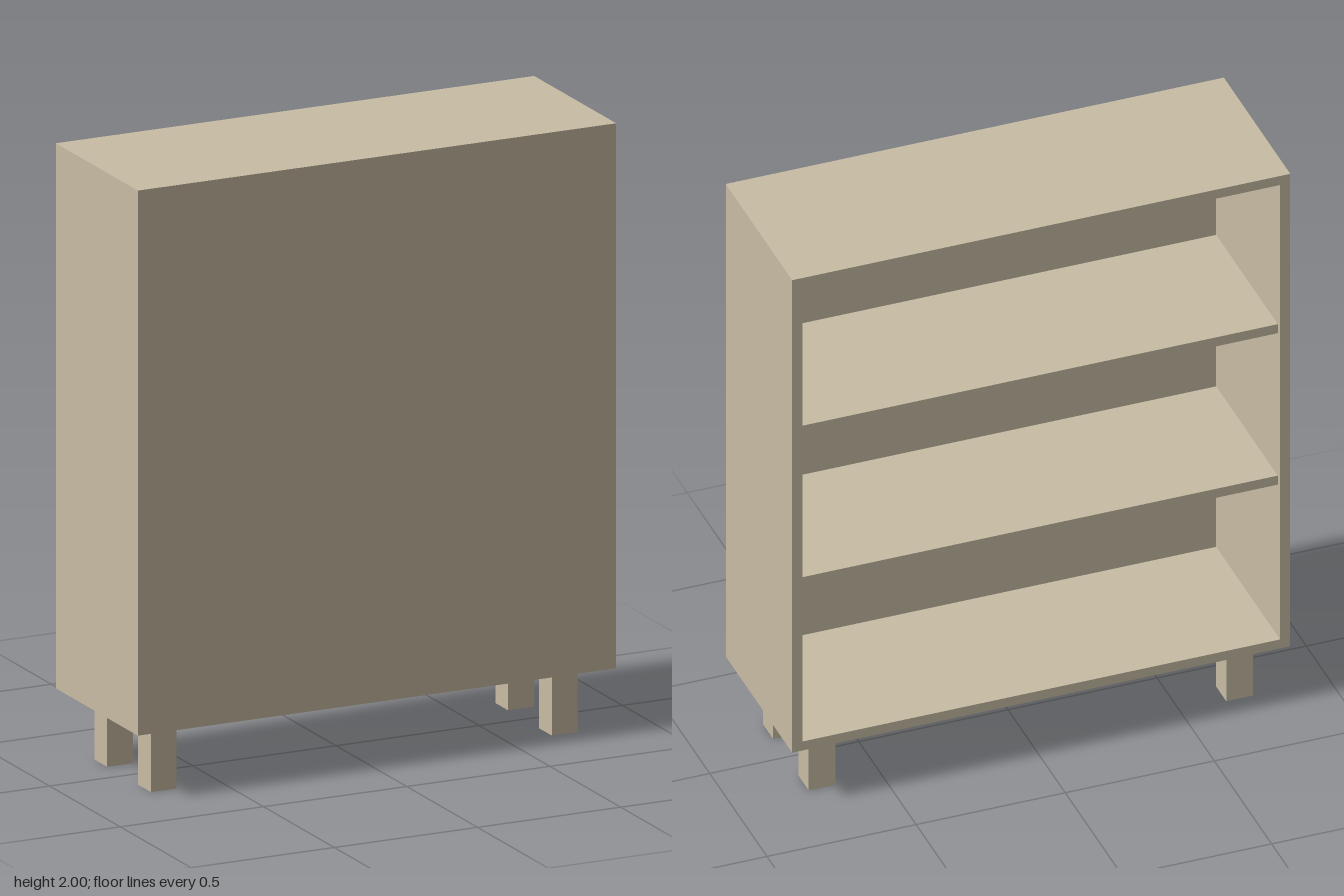
import * as THREE from 'three';

export function createModel() {
  const wood = new THREE.MeshStandardMaterial({ color: 0xc9bda5 });
  wood.name = 'pale wood';

  const model = new THREE.Group();
  model.name = 'shelfUnit';

  const W = 1.67, D = 0.58, bottom = 0.22, top = 2; // cabinet size
  const board = 0.034, panel = 0.022, inset = 0.02; // board thicknesses, shelf setback
  const halfW = W / 2, innerHalfW = halfW - board;
  const innerBottom = bottom + board, innerTop = top - board;

  const add = (name, geometry, x, y, z) => {
    const mesh = new THREE.Mesh(geometry, wood);
    mesh.name = name;
    mesh.position.set(x, y, z);
    model.add(mesh);
  };

  const rectangle = (target, x, y0, y1) => {
    target.moveTo(-x, y0);
    target.lineTo(x, y0);
    target.lineTo(x, y1);
    target.lineTo(-x, y1);
    target.closePath();
    return target;
  };

  // Outer frame: top, bottom and sides in one ring, open at the back
  const outline = rectangle(new THREE.Shape(), halfW, bottom, top);
  outline.holes.push(rectangle(new THREE.Path(), innerHalfW, innerBottom, innerTop));
  add('frame', new THREE.ExtrudeGeometry(outline, { depth: D - panel, bevelEnabled: false }), 0, 0, -D / 2);

  // Closed front panel
  add('frontPanel', new THREE.BoxGeometry(W, top - bottom, panel), 0, (top + bottom) / 2, D / 2 - panel / 2);

  // Two shelves set back slightly from the open side
  const shelfDepth = D - panel - inset;
  for (const i of [1, 2]) {
    const y = innerBottom + (i * (innerTop - innerBottom)) / 3 + board / 2;
    add('shelf' + i, new THREE.BoxGeometry(innerHalfW * 2, board, shelfDepth), 0, y, (inset - panel) / 2);
  }

  // Four square legs
  const legGeometry = new THREE.BoxGeometry(0.09, bottom, 0.09);
  for (const [side, x] of [['Left', 0.7], ['Right', -0.7]]) {
    for (const [end, z] of [['front', 0.155], ['back', -0.155]]) {
      add(end + side + 'Leg', legGeometry, x, bottom / 2, z);
    }
  }

  return model;
}
